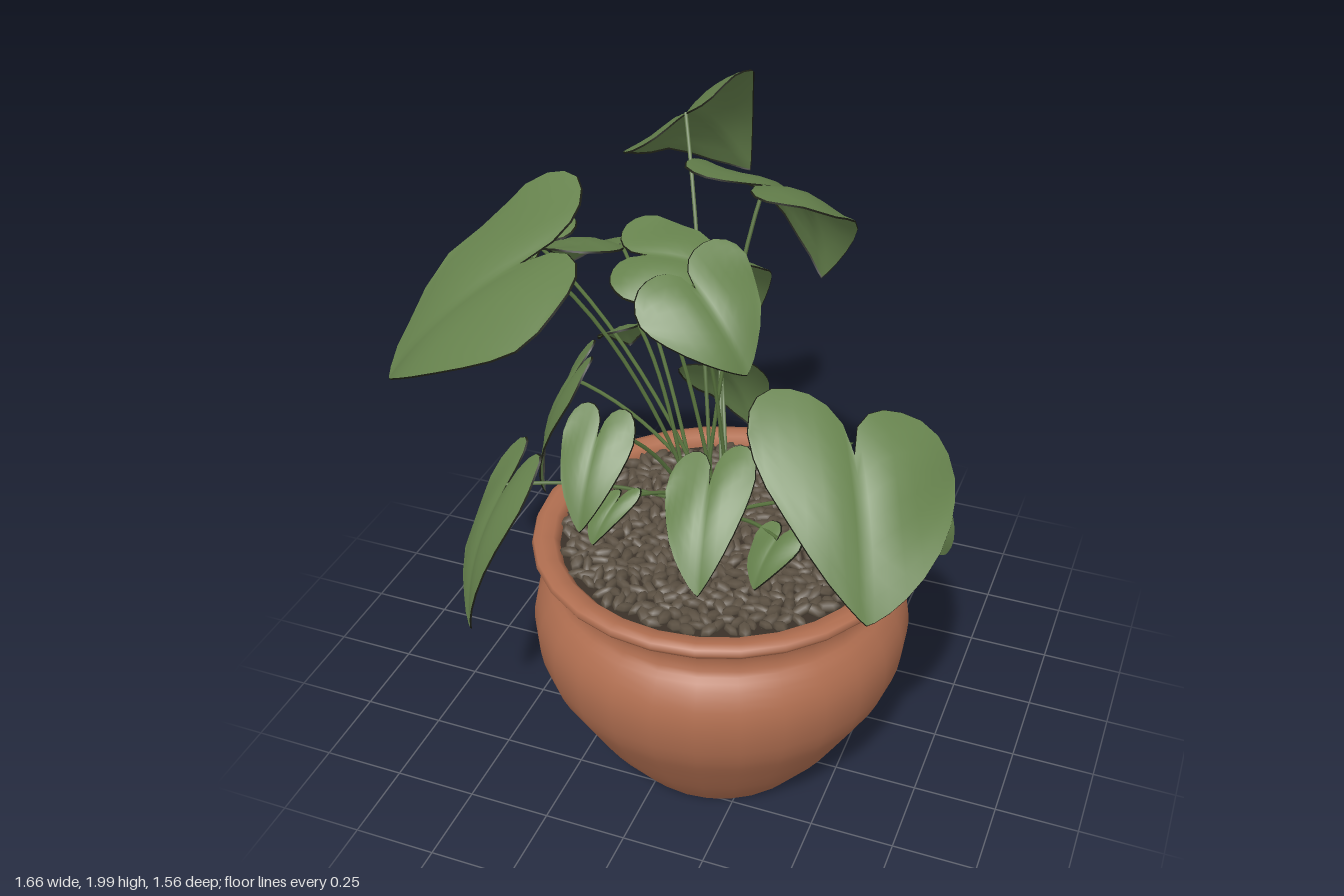
import * as THREE from 'three';
import { mergeGeometries } from 'three/addons/utils/BufferGeometryUtils.js';

const mat = (name, color, side = THREE.FrontSide) => {
  const m = new THREE.MeshStandardMaterial({ color, side });
  m.name = name;
  return m;
};
const V = (a) => new THREE.Vector3(...a);

// small seeded generator for the pebbles and stem roots
function seeded(seed) {
  return () => {
    seed = (seed * 16807) % 2147483647;
    return seed / 2147483647;
  };
}

function surface(pos, index) {
  const g = new THREE.BufferGeometry();
  g.setAttribute('position', new THREE.Float32BufferAttribute(pos, 3));
  g.setIndex(index);
  g.computeVertexNormals();
  return g;
}

// Heart-shaped blade: columns run across, rows from the lobed back edge to the tip edge.
// The rim is a very narrow ribbon hanging from its outline.
function leafGeometries(notch, tip, half, arch = 0.08, droop = 0.12) {
  const axis = tip.clone().sub(notch);
  const normal = new THREE.Vector3().crossVectors(axis, half).normalize();
  if (normal.y < 0) normal.negate();
  const len = axis.length(), wide = half.length();
  const side = [0.07, 0.2, 0.36, 0.54, 0.72, 0.87, 0.96, 1];
  const cols = [...side.map((v) => -v).reverse(), 0, ...side];
  const rows = 8, pos = [], index = [], backEdge = [], frontEdge = [];
  cols.forEach((v, c) => {
    const a = Math.abs(v);
    const back = 0.06 - 0.32 * Math.sqrt(Math.max(0, 1 - Math.abs((a - 0.5) / 0.5) ** 2.3));
    const front = 0.06 + 0.94 * Math.pow(1 - Math.pow(a, 1.2), 0.64);
    for (let r = 0; r <= rows; r++) {
      const u = back + (front - back) * r / rows;
      const lift = len * arch * (4 * u * (1 - u)) - wide * droop * a * a
        + wide * 0.06 * Math.sin(u * 7 + v * 4) * a + wide * 0.06 * Math.min(a * 4, 1);
      const p = notch.clone().addScaledVector(axis, u).addScaledVector(half, v).addScaledVector(normal, lift);
      pos.push(p.x, p.y, p.z);
      if (r === 0) backEdge.push(p);
      if (r === rows) frontEdge.push(p);
      if (c > 0 && r > 0) {
        const i = c * (rows + 1) + r, j = i - rows - 1;
        index.push(j - 1, i - 1, i, j - 1, i, j);
      }
    }
  });
  const outline = [...backEdge, ...frontEdge.reverse()];
  const middle = notch.clone().addScaledVector(axis, 0.3);
  const rimPos = [], rimIndex = [], n = outline.length;
  outline.forEach((p, i) => {
    const out = p.clone().sub(middle).setLength(0.002);
    const q = p.clone().add(out).addScaledVector(normal, -0.006);
    rimPos.push(p.x, p.y, p.z, q.x, q.y, q.z);
    const a = 2 * i, b = 2 * ((i + 1) % n);
    rimIndex.push(a, a + 1, b + 1, a, b + 1, b);
  });
  return [surface(pos, index), surface(rimPos, rimIndex)];
}

export function createModel() {
  const model = new THREE.Group();
  model.name = 'pottedPlant';
  const terracotta = mat('terracotta', 0xb06e50);
  const soilColor = mat('darkSoil', 0x3a3128);
  const stoneColor = mat('brownStone', 0x5c5143);
  const leafColor = mat('leafGreen', 0x66824d, THREE.DoubleSide);
  const rimColor = mat('leafEdgeDark', 0x1e2016, THREE.DoubleSide);
  const stemColor = mat('stemGreen', 0x58733e);
  const add = (name, geometry, material, parent = model) => {
    const m = new THREE.Mesh(geometry, material);
    m.name = name;
    parent.add(m);
    return m;
  };
  const rand = seeded(4321);
  const cx = 0.11, cz = 0.22;

  // pot: bellied body, narrow neck and flared rim, with a flat base
  const curve = new THREE.SplineCurve([
    [0.3, 0.005], [0.395, 0.13], [0.485, 0.28], [0.54, 0.39], [0.56, 0.5],
    [0.55, 0.58], [0.52, 0.64], [0.492, 0.675], [0.488, 0.72], [0.508, 0.75], [0.545, 0.772],
  ].map(([x, y]) => new THREE.Vector2(x, y)));
  const rim = [[0.553, 0.785], [0.547, 0.8], [0.525, 0.806], [0.49, 0.8], [0.472, 0.78], [0.468, 0.7]]
    .map(([x, y]) => new THREE.Vector2(x, y));
  add('pot', new THREE.LatheGeometry([...curve.getPoints(24), ...rim], 28), terracotta).position.set(cx, 0, cz);
  const base = add('potBase', new THREE.CircleGeometry(0.3, 28), terracotta);
  base.rotation.x = Math.PI / 2;
  base.position.set(cx, 0.005, cz);

  // soil and pebbles
  const soil = add('soil', new THREE.CircleGeometry(0.475, 28), soilColor);
  soil.rotation.x = -Math.PI / 2;
  soil.position.set(cx, 0.774, cz);
  const pebbles = [];
  const count = 560;
  for (let i = 0; i < count; i++) {
    const r = 0.455 * Math.sqrt((i + 0.5) / count), a = i * 2.39996;
    const g = new THREE.SphereGeometry(1, 6, 4);
    g.scale(0.028 + 0.013 * rand(), 0.012 + 0.006 * rand(), 0.013 + 0.008 * rand());
    g.rotateZ((rand() - 0.5) * 0.9);
    g.rotateY(rand() * Math.PI);
    g.translate(cx + r * Math.cos(a), 0.78 + 0.012 * rand(), cz + r * Math.sin(a));
    pebbles.push(g);
  }
  add('pebbles', mergeGeometries(pebbles), stoneColor);

  // each leaf: notch where the stem joins, tip, and half-width vector
  const plant = new THREE.Group();
  plant.name = 'plant';
  model.add(plant);
  const leaf = (name, n, t, h, arch, droop) => {
    const notch = V(n);
    const [blade, edge] = leafGeometries(notch, V(t), V(h), arch, droop);
    add(name + 'Leaf', blade, leafColor, plant);
    add(name + 'LeafEdge', edge, rimColor, plant);
    const root = new THREE.Vector3(0.06 + (rand() - 0.5) * 0.16, 0.77, 0.15 + (rand() - 0.5) * 0.14);
    const d = notch.clone().sub(root);
    const mid = root.clone().add(new THREE.Vector3(d.x * 0.42, d.y * 0.66 + 0.06, d.z * 0.42));
    const path = new THREE.QuadraticBezierCurve3(root, mid, notch);
    add(name + 'Stem', new THREE.TubeGeometry(path, 12, 0.006, 5), stemColor, plant);
  };

  // tall leaves
  leaf('topBack', [-0.21, 1.83, -0.33], [-0.17, 1.47, -0.78], [0.18, 0.15, -0.03], 0.13, 0.04);
  leaf('backLeft', [0.11, 1.75, -0.11], [0.19, 1.32, -0.43], [0.22, -0.01, 0.07], 0.15, 0.08);
  leaf('frontRight', [-0.42, 1.62, 0.29], [-0.81, 1.25, 0.45], [0.09, -0.11, 0.25], 0.07, 0.06);
  leaf('backRight', [-0.35, 1.46, -0.16], [-0.63, 1.25, -0.37], [0.16, -0.05, -0.18]);
  leaf('outerRight', [-0.58, 1.5, -0.03], [-0.83, 1.42, -0.15], [0.06, 0.04, -0.13]);
  leaf('centreRight', [-0.16, 1.6, 0.13], [0.09, 1.54, 0.06], [0.03, -0.05, 0.15]);
  leaf('centreLeft', [0.03, 1.6, 0.24], [0.21, 1.39, 0.3], [-0.09, -0.05, 0.15]);
  leaf('frontLeft', [0.56, 1.36, 0.48], [0.69, 1.01, 0.74], [0.25, -0.07, -0.1]);

  // middle leaves
  leaf('back', [-0.11, 1.36, -0.34], [-0.1, 1.01, -0.66], [0.14, 0.02, 0], 0.1);
  leaf('inner', [-0.19, 1.36, 0.1], [-0.28, 1.2, -0.04], [0.1, 0.02, -0.06]);
  leaf('frontHeart', [-0.14, 1.25, 0.5], [-0.14, 1.02, 0.65], [0.1, 0, 0]);
  leaf('sideRight', [-0.42, 1.12, 0.08], [-0.52, 0.7, 0.11], [0.04, 0.01, 0.11]);

  // low and hanging leaves
  leaf('lowFront', [0.12, 1.06, 0.34], [0.16, 0.81, 0.55], [0.12, 0.03, -0.03]);
  leaf('hangingRight', [-0.45, 0.98, 0.47], [-0.55, 0.51, 0.58], [0.08, 0.01, 0.08]);
  leaf('hangingLeft', [0.62, 0.92, 0.06], [0.72, 0.67, -0.06], [0.05, 0.02, -0.1]);
  leaf('lowBack', [-0.02, 1.12, -0.12], [0.03, 0.83, -0.28], [0.13, 0.04, 0]);
  leaf('smallFrontLeft', [0.34, 0.95, 0.4], [0.3, 0.82, 0.48], [0.07, 0.01, 0.03]);
  leaf('smallFrontRight', [-0.12, 0.99, 0.44], [-0.17, 0.87, 0.51], [0.06, 0.02, 0]);

  return model;
}
